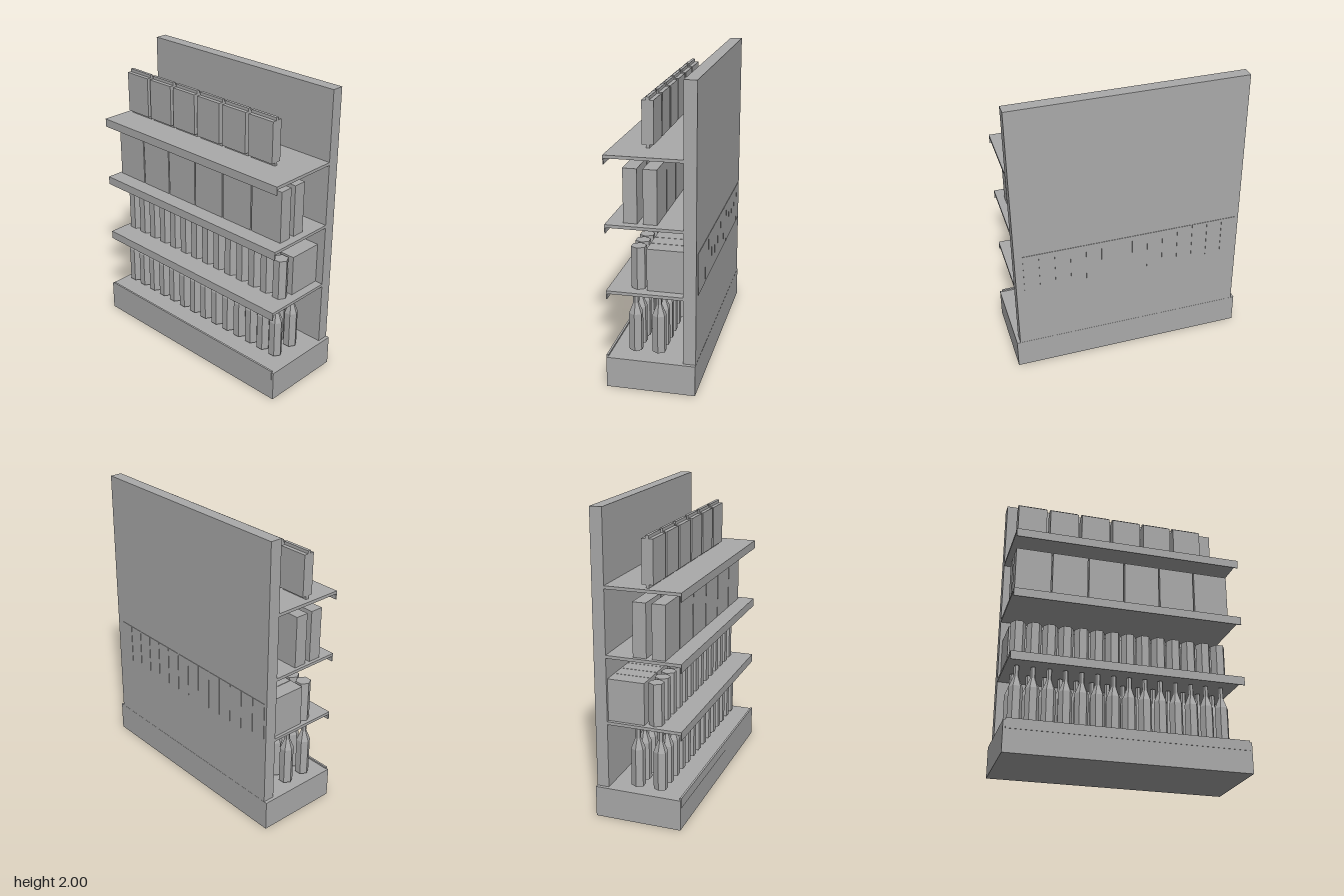
import * as THREE from 'three';

export function createModel() {
  const model = new THREE.Group();
  model.name = 'storeShelf';
  const grey = new THREE.MeshStandardMaterial({ color: 0xaaaaaa });
  grey.name = 'grey';

  const add = (name, geometry, parent = model) => {
    const mesh = new THREE.Mesh(geometry, grey);
    mesh.name = name;
    parent.add(mesh);
    return mesh;
  };

  // Box given by its minimum and maximum on each axis
  const box = (name, x0, x1, y0, y1, z0, z1, parent) => {
    const g = new THREE.BoxGeometry(x1 - x0, y1 - y0, z1 - z0);
    g.translate((x0 + x1) / 2, (y0 + y1) / 2, (z0 + z1) / 2);
    return add(name, g, parent);
  };

  // Six-sided turned shape with corners on the x axis and flat facets
  const hexTurned = (profile) => {
    const points = profile.map(([r, y]) => new THREE.Vector2(r, y));
    const g = new THREE.LatheGeometry(points, 6, Math.PI / 2).toNonIndexed();
    g.computeVertexNormals();
    return g;
  };

  // Row of copies at an even spacing along x
  const row = (name, count, firstX, step, build) => {
    const group = new THREE.Group();
    group.name = name;
    for (let i = 0; i < count; i++) build(firstX + i * step, group);
    model.add(group);
  };

  // Plinth, its front lip and the back panel
  box('base', -0.8, 0.8, 0, 0.205, -0.287, 0.287);
  box('baseLip', -0.785, 0.785, 0.15, 0.216, 0.277, 0.29);
  box('backPanel', -0.777, 0.777, 0.205, 2, -0.286, -0.206);

  // Shelves with a thin hanging front edge
  for (const top of [0.655, 1.092, 1.529]) {
    box('shelf', -0.777, 0.777, top - 0.02, top, -0.206, 0.285);
    box('shelfEdge', -0.777, 0.777, top - 0.057, top - 0.02, 0.279, 0.285);
  }

  // Two rows of bottles on the base
  const bottle = hexTurned([
    [0, 0.225], [0.046, 0.225], [0.046, 0.477], [0.018, 0.548], [0.018, 0.622], [0, 0.622],
  ]);
  for (const z of [0.123, -0.028]) {
    row('bottleRow', 14, -0.708, 0.106, (x, group) => {
      add('bottle', bottle, group).position.set(x, 0, z);
    });
  }

  // Stacked cans, and long cartons behind them reaching through the panel
  const can = hexTurned([[0, 0], [0.05, 0], [0.05, 0.138], [0, 0.138]]);
  row('canRow', 14, -0.707, 0.106, (x, group) => {
    for (const y of [0.657, 0.795]) add('can', can, group).position.set(x, y, 0.098);
  });
  row('cartonRow', 14, -0.707, 0.106, (x, group) => {
    box('carton', x - 0.051, x + 0.051, 0.657, 0.933, -0.289, 0.037, group);
  });

  // Two rows of wide boxes
  for (const z of [0.135, 0.01]) {
    row('boxRow', 6, -0.637, 0.249, (x, group) => {
      box('wideBox', x - 0.12, x + 0.12, 1.094, 1.442, z - 0.044, z + 0.044, group);
    });
  }

  // Packets with thin sealed ends at top and bottom
  row('packetRow', 6, -0.643, 0.2235, (x, group) => {
    box('packet', x - 0.099, x + 0.099, 1.55, 1.825, 0.023, 0.098, group);
    box('packetTopSeal', x - 0.099, x + 0.099, 1.825, 1.845, 0.05, 0.071, group);
    box('packetBottomSeal', x - 0.099, x + 0.099, 1.529, 1.55, 0.05, 0.071, group);
  });

  return model;
}
